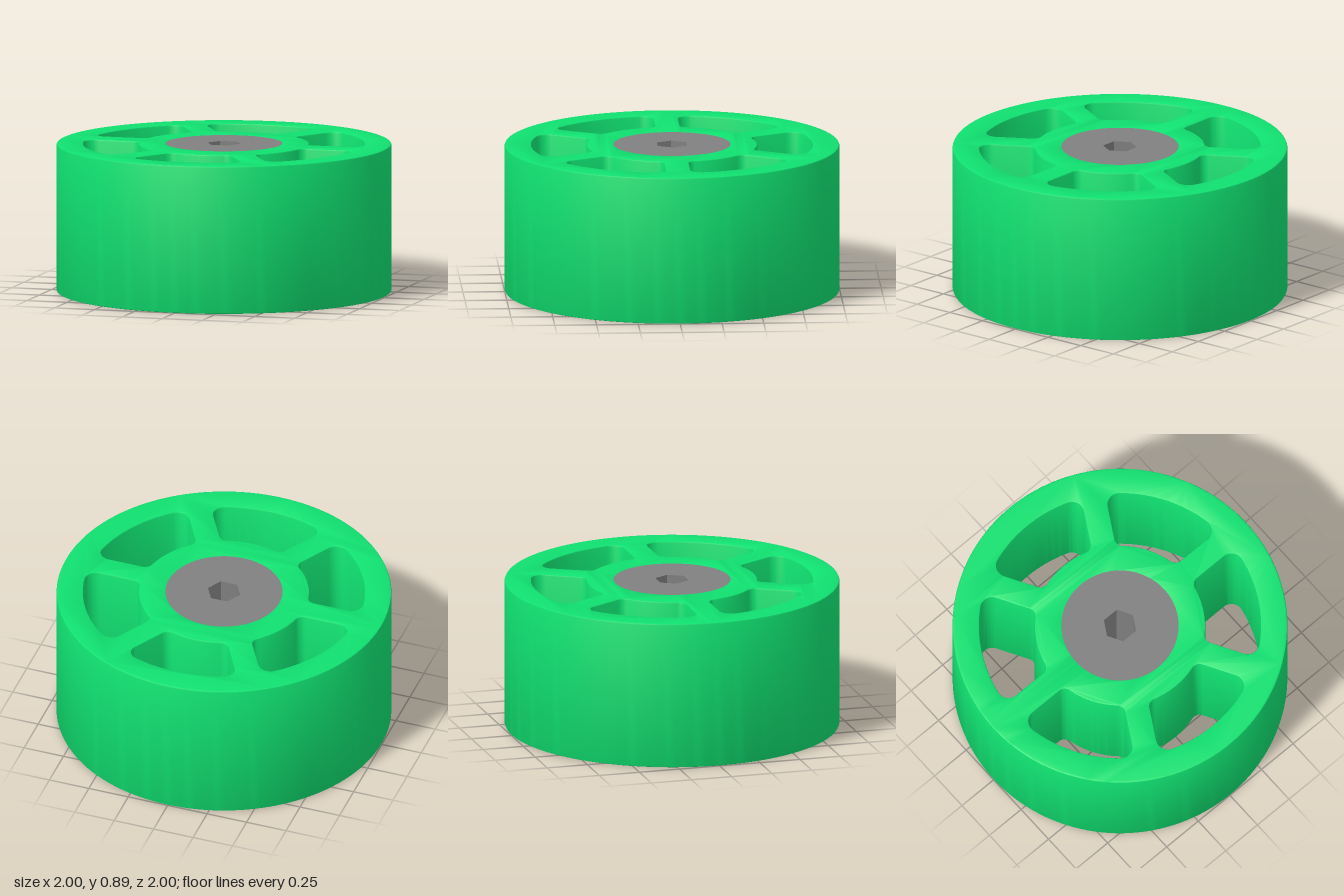
import * as THREE from 'three';
import { toCreasedNormals } from 'three/addons/utils/BufferGeometryUtils.js';

const HEIGHT = 0.89, BEVEL = 0.01, HUB_R = 0.35, SPOKES = 6;
const STEP = (Math.PI * 2) / SPOKES;

// Full circle drawn as several arcs, for a finer outline
function addCircle(path, r) {
  for (let i = 0; i < SPOKES; i++) path.absarc(0, 0, r, i * STEP, (i + 1) * STEP, false);
  return path;
}

// Rounded window between two straight spokes, starting at angle t
function windowPath(t) {
  const inner = 0.51, outer = 0.84, halfSpoke = 0.075, fi = 0.05, fo = 0.07;
  const ro = outer - fo, ri = inner + fi;
  const ao = Math.asin((halfSpoke + fo) / ro), ai = Math.asin((halfSpoke + fi) / ri);
  const end = t + STEP, q = Math.PI / 2;
  const p = new THREE.Path();
  const corner = (r, a, f, from, to) => p.absarc(r * Math.cos(a), r * Math.sin(a), f, from, to, false);
  corner(ro, t + ao, fo, t - q, t + ao);
  p.absarc(0, 0, outer, t + ao, end - ao, false);
  corner(ro, end - ao, fo, end - ao, end + q);
  corner(ri, end - ai, fi, end + q, end - ai + Math.PI);
  p.absarc(0, 0, inner, end - ai, t + ai, true);
  corner(ri, t + ai, fi, t + ai + Math.PI, t + 3 * q);
  p.closePath();
  return p;
}

// Extrude upwards from y = 0 to HEIGHT, with optional rounded edges
function extrudeUp(shape, bevel) {
  const geo = new THREE.ExtrudeGeometry(shape, {
    depth: HEIGHT - 2 * bevel, curveSegments: 12, bevelEnabled: bevel > 0,
    bevelSize: bevel, bevelThickness: bevel, bevelOffset: -bevel, bevelSegments: 2,
  });
  geo.translate(0, 0, bevel).rotateX(-Math.PI / 2);
  return toCreasedNormals(geo, 0.5);
}

function part(name, geometry, color) {
  const mesh = new THREE.Mesh(geometry, new THREE.MeshStandardMaterial({ color }));
  mesh.name = name;
  return mesh;
}

export function createModel() {
  const group = new THREE.Group();
  group.name = 'wheel';

  // Tyre, spokes and inner ring in one piece; its bore flares out to the hub radius
  const body = addCircle(new THREE.Shape(), 1);
  body.holes.push(addCircle(new THREE.Path(), HUB_R - BEVEL));
  for (let i = 0; i < SPOKES; i++) body.holes.push(windowPath(i * STEP));
  group.add(part('wheelBody', extrudeUp(body, BEVEL), 0x10e070));

  // Flush hub with a hexagonal shaft bore
  const hub = addCircle(new THREE.Shape(), HUB_R);
  const hex = Array.from({ length: 6 }, (_, i) =>
    new THREE.Vector2(0.102 * Math.cos(i * Math.PI / 3), 0.102 * Math.sin(i * Math.PI / 3)));
  hub.holes.push(new THREE.Path(hex));
  group.add(part('hub', extrudeUp(hub, 0), 0x808080));

  return group;
}
